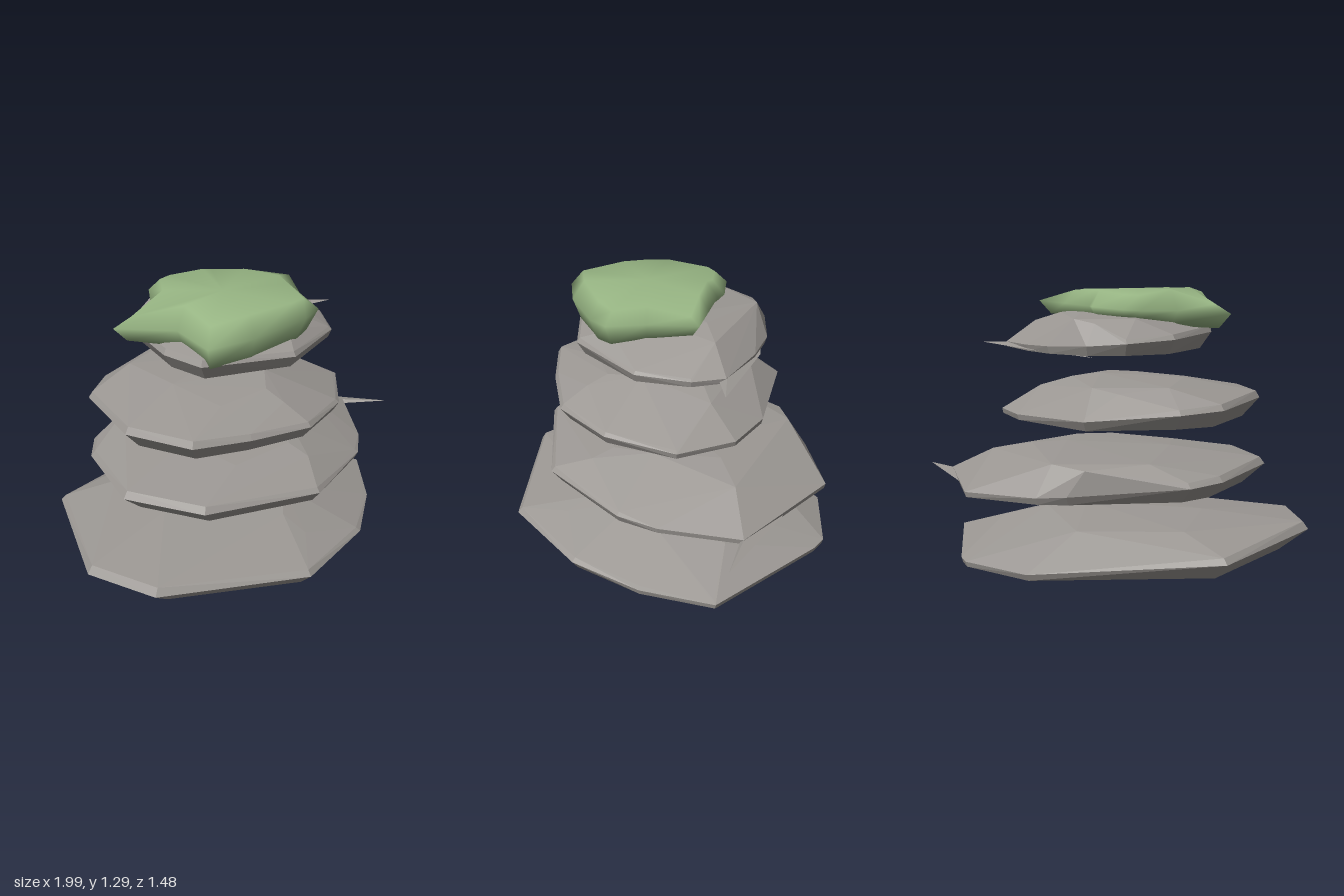
import * as THREE from 'three';
import { ConvexGeometry } from 'three/addons/geometries/ConvexGeometry.js';

// Each stone: base height, thickness, steepness of the crown, reach of the crown's back, outline [x, z]
const BOTTOM = {
  base: 0, height: 0.22, falloff: 1.3, back: 0.68,
  rim: [[-1, -0.03], [-0.62, -0.65], [0.27, -0.74], [0.6, -0.54], [0.64, -0.46],
    [0.8, 0.21], [0.53, 0.47], [0.2, 0.66], [-0.3, 0.735], [-0.92, 0.33]],
};
const LOWER = {
  base: 0.33, height: 0.2, falloff: 0.8, back: 0.88,
  rim: [[-0.78, 0], [-0.59, -0.43], [-0.45, -0.56], [0.1, -0.66], [0.24, -0.66], [0.6, -0.53],
    [0.82, 0.08], [0.55, 0.38], [0.38, 0.5], [-0.1, 0.62], [-0.63, 0.37]],
};
const UPPER = {
  base: 0.66, height: 0.21, falloff: 1, back: 0.7,
  rim: [[-0.75, 0], [-0.59, -0.42], [-0.4, -0.53], [0.03, -0.61], [0.4, -0.28], [0.525, -0.05],
    [0.5, 0.25], [0.22, 0.48], [-0.1, 0.555], [-0.4, 0.45], [-0.65, 0.32]],
};
const TOP = {
  base: 0.99, height: 0.19, falloff: 0.9, back: 0.8,
  rim: [[-0.51, 0.02], [-0.36, -0.37], [-0.15, -0.49], [0.03, -0.515], [0.23, -0.4], [0.36, -0.25],
    [0.51, 0], [0.47, 0.16], [0.3, 0.36], [-0.1, 0.455], [-0.5, 0.24]],
};

// Crown shared by all stones, as fractions of half width, half depth and height
const CROWN = [[-0.42, -0.05, 0.92], [0.22, -0.05, 1], [0.44, -0.07, 0.92], [0.7, 0, 0.68],
  [0.2, 0.35, 0.95], [0, 0.55, 0.87], [0, 0.74, 0.7], [-0.4, 0.45, 0.8]];
const CROWN_BACK = [[0.2, -1, 0.85], [-0.35, -0.9, 0.85], [0, -1.1, 0.74]];

// Thin slivers split off the stones, corners [x, y, z]
const LOWER_SLIVER = [[0.15, 0.325, -0.66], [0.7, 0.34, -0.23], [0.985, 0.342, 0.26], [0.8, 0.355, 0.06], [0.6, 0.335, -0.1]];
const UPPER_SLIVER = [[0, 0.985, -0.52], [0.34, 1, -0.29], [0.65, 1.004, 0.09], [0.5, 1.015, -0.01], [0.3, 0.995, -0.05]];

// Star-shaped outline of the moss [x, z]
const MOSS = [[-0.61, -0.2], [-0.36, -0.2], [-0.2, -0.38], [-0.12, -0.38], [0.04, -0.27], [0.06, -0.22],
  [0.2, -0.09], [0.35, 0.05], [0.2, 0.24], [0.12, 0.41], [0, 0.43], [-0.3, 0.38], [-0.51, 0.29], [-0.45, 0.05]];

const hull = (points) => new ConvexGeometry(points.map((p) => new THREE.Vector3(...p)));

// Faceted stone: flat underside, tilted rim with a narrow bevel, and a low crown
function stoneGeometry({ base, height, falloff, back, rim }) {
  const box = new THREE.Box2().setFromPoints(rim.map(([x, z]) => new THREE.Vector2(x, z)));
  const c = box.getCenter(new THREE.Vector2());
  const half = box.getSize(new THREE.Vector2()).multiplyScalar(0.5);
  const crown = [...CROWN, ...CROWN_BACK.map(([u, v, h]) => [u, v * back, h])];
  const points = crown.map(([u, v, h]) => [c.x + u * half.x, base + height * h ** falloff, c.y + v * half.y]);
  for (const [x, z] of rim) {
    // The rim is highest at -x, where the underside is also set in the most
    const rise = Math.max(0.025, 0.052 - 0.055 * x + 0.01 * z);
    const inset = 1.8 * (rise - 0.02);
    for (const [s, y] of [[1 - inset, 0], [1, rise], [0.97, rise * 1.35]]) {
      points.push([c.x + (x - c.x) * s, base + y, c.y + (z - c.y) * s]);
    }
  }
  return hull(points);
}

// Smooth clump of three rings (underside, rim, crown) closed at both ends
function mossGeometry() {
  const n = MOSS.length, cx = -0.14, cz = 0.05;
  const rings = [
    [0.88, (x, z) => 1.13 + 0.08 * x - 0.1 * z],
    [1, (x) => 1.2 + 0.05 * x],
    [0.84, (x, z) => 1.295 - Math.hypot(x - cx, z - cz) ** 4],
  ];
  const position = [], index = [];
  for (const [s, y] of rings) {
    for (const [x, z] of MOSS) position.push(cx + (x - cx) * s, y(x, z), cz + (z - cz) * s);
  }
  position.push(cx, 1.1, cz, cx, 1.28, cz);
  for (let i = 0; i < n; i++) {
    const j = (i + 1) % n;
    for (const r of [0, n]) {
      index.push(r + j, r + i, r + n + i, r + j, r + n + i, r + n + j);
    }
    index.push(3 * n, i, j, 3 * n + 1, 2 * n + j, 2 * n + i);
  }
  const geometry = new THREE.BufferGeometry();
  geometry.setAttribute('position', new THREE.Float32BufferAttribute(position, 3));
  geometry.setIndex(index);
  geometry.computeVertexNormals();
  return geometry;
}

export function createModel() {
  const stone = new THREE.MeshStandardMaterial({ color: 0x9c9894 });
  stone.name = 'stone grey';
  const green = new THREE.MeshStandardMaterial({ color: 0x98b684 });
  green.name = 'moss green';

  const model = new THREE.Group();
  model.name = 'stoneStack';
  const add = (name, geometry, material) => {
    const mesh = new THREE.Mesh(geometry, material);
    mesh.name = name;
    model.add(mesh);
  };

  add('bottomStone', stoneGeometry(BOTTOM), stone);
  add('lowerMiddleStone', stoneGeometry(LOWER), stone);
  add('upperMiddleStone', stoneGeometry(UPPER), stone);
  add('topStone', stoneGeometry(TOP), stone);
  add('lowerSliver', hull(LOWER_SLIVER), stone);
  add('upperSliver', hull(UPPER_SLIVER), stone);
  add('mossCap', mossGeometry(), green);
  return model;
}
